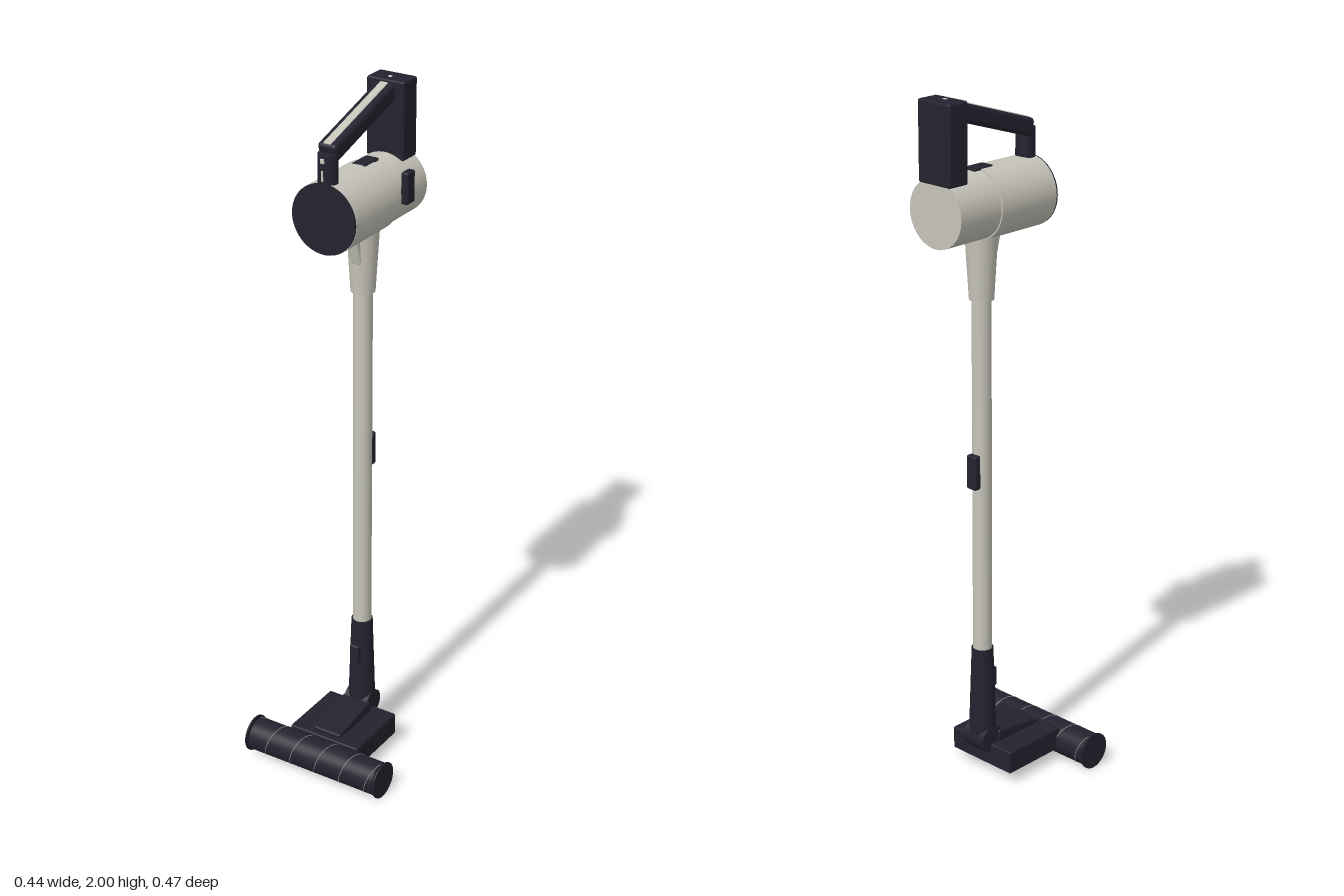
import * as THREE from 'three';
import { RoundedBoxGeometry } from 'three/addons/geometries/RoundedBoxGeometry.js';

export function createModel() {
  const root = new THREE.Group();
  root.name = 'stickVacuum';
  const mat = (name, color) => {
    const m = new THREE.MeshStandardMaterial({ color });
    m.name = name;
    return m;
  };
  const pale = mat('warm grey', 0xc6c4b9);
  const dark = mat('midnight', 0x22232f);
  const bristle = mat('bristle grey', 0x8a8883);

  const add = (name, geo, material, x, y, z) => {
    const m = new THREE.Mesh(geo, material);
    m.name = name;
    m.position.set(x, y, z);
    root.add(m);
    return m;
  };
  const box = (name, material, w, h, d, x, y, z, r = 0.006) =>
    add(name, new RoundedBoxGeometry(w, h, d, 3, r), material, x, y, z);
  // upright, possibly tapered cylinder between two heights
  const column = (name, material, rTop, rBottom, y0, y1, z) =>
    add(name, new THREE.CylinderGeometry(rTop, rBottom, y1 - y0, 40), material, 0, (y0 + y1) / 2, z);
  // cylinder lying along z
  const barrel = (name, material, r, z0, z1, y) => {
    const m = add(name, new THREE.CylinderGeometry(r, r, z1 - z0, 64), material, 0, y, (z0 + z1) / 2);
    m.rotation.x = Math.PI / 2;
  };
  // cylinder lying along x
  const axle = (name, material, r, length, x, y, z) => {
    const m = add(name, new THREE.CylinderGeometry(r, r, length, 48), material, x, y, z);
    m.rotation.z = Math.PI / 2;
  };

  // motor body
  const bodyY = 1.706;
  barrel('rearBody', pale, 0.094, -0.229, -0.08, bodyY);
  barrel('frontBody', pale, 0.098, -0.08, 0.128, bodyY);
  barrel('frontCap', dark, 0.097, 0.128, 0.133, bodyY);
  box('sideButton', dark, 0.022, 0.09, 0.04, 0.102, 1.737, -0.117);
  box('topSwitch', dark, 0.04, 0.008, 0.07, 0, 1.802, -0.07, 0.003);

  // handle
  box('battery', dark, 0.116, 0.218, 0.068, 0, 1.891, -0.199);
  add('batteryLight', new THREE.CylinderGeometry(0.006, 0.006, 0.003, 20), pale, 0, 2.0, -0.19);
  const handle = new THREE.Group();
  handle.name = 'handle';
  handle.position.set(0, 1.926, -0.034);
  handle.rotation.x = 0.304;
  root.add(handle);
  const grip = new THREE.Mesh(new RoundedBoxGeometry(0.058, 0.05, 0.31, 4, 0.012), dark);
  grip.name = 'grip';
  const inlay = new THREE.Mesh(new RoundedBoxGeometry(0.024, 0.008, 0.29, 2, 0.003), pale);
  inlay.name = 'gripInlay';
  inlay.position.set(0, 0.0235, 0.003);
  handle.add(grip, inlay);
  column('handlePost', dark, 0.027, 0.027, 1.78, 1.88, 0.11);
  box('upperMark', pale, 0.012, 0.014, 0.006, 0, 1.865, 0.136, 0.002);
  box('lowerMark', pale, 0.006, 0.03, 0.006, 0, 1.825, 0.136, 0.002);

  // neck and wand
  const wandZ = -0.059;
  column('neck', pale, 0.046, 0.034, 1.44, 1.64, wandZ);
  const latch = box('neckLatch', pale, 0.032, 0.1, 0.03, 0, 1.578, -0.023);
  latch.rotation.x = 0.25;
  column('wand', pale, 0.027, 0.027, 0.38, 1.46, wandZ);
  box('wandClip', dark, 0.036, 0.1, 0.022, 0, 0.95, -0.092);

  // lower connector and elbow
  column('lowerConnector', dark, 0.031, 0.04, 0.12, 0.405, wandZ);
  box('connectorLatch', dark, 0.03, 0.06, 0.02, 0, 0.3, -0.023);
  axle('elbow', dark, 0.04, 0.078, 0, 0.12, wandZ);

  // floor head
  box('floorHead', dark, 0.23, 0.07, 0.215, 0, 0.071, 0.043);
  const hump = box('headNeck', dark, 0.09, 0.06, 0.17, 0, 0.099, 0.045);
  hump.rotation.x = 0.15;

  // roller with end discs
  const rollY = 0.056, rollZ = 0.178, rollR = 0.049;
  axle('roller', dark, rollR, 0.424, 0, rollY, rollZ);
  axle('rollerShaft', dark, 0.02, 0.438, 0, rollY, rollZ);
  for (const s of [-1, 1]) axle('rollerEndDisc', dark, 0.054, 0.004, s * 0.22, rollY, rollZ);

  // spiral bristle strip: one turn every 0.085 along the roller
  class Spiral extends THREE.Curve {
    getPoint(t, target = new THREE.Vector3()) {
      const x = -0.211 + 0.422 * t;
      const a = ((x - 0.104) / 0.085) * Math.PI * 2;
      return target.set(x, rollR * Math.sin(a), rollR * Math.cos(a));
    }
  }
  add('bristleStrip', new THREE.TubeGeometry(new Spiral(), 300, 0.0013, 6), bristle, 0, rollY, rollZ);

  return root;
}
